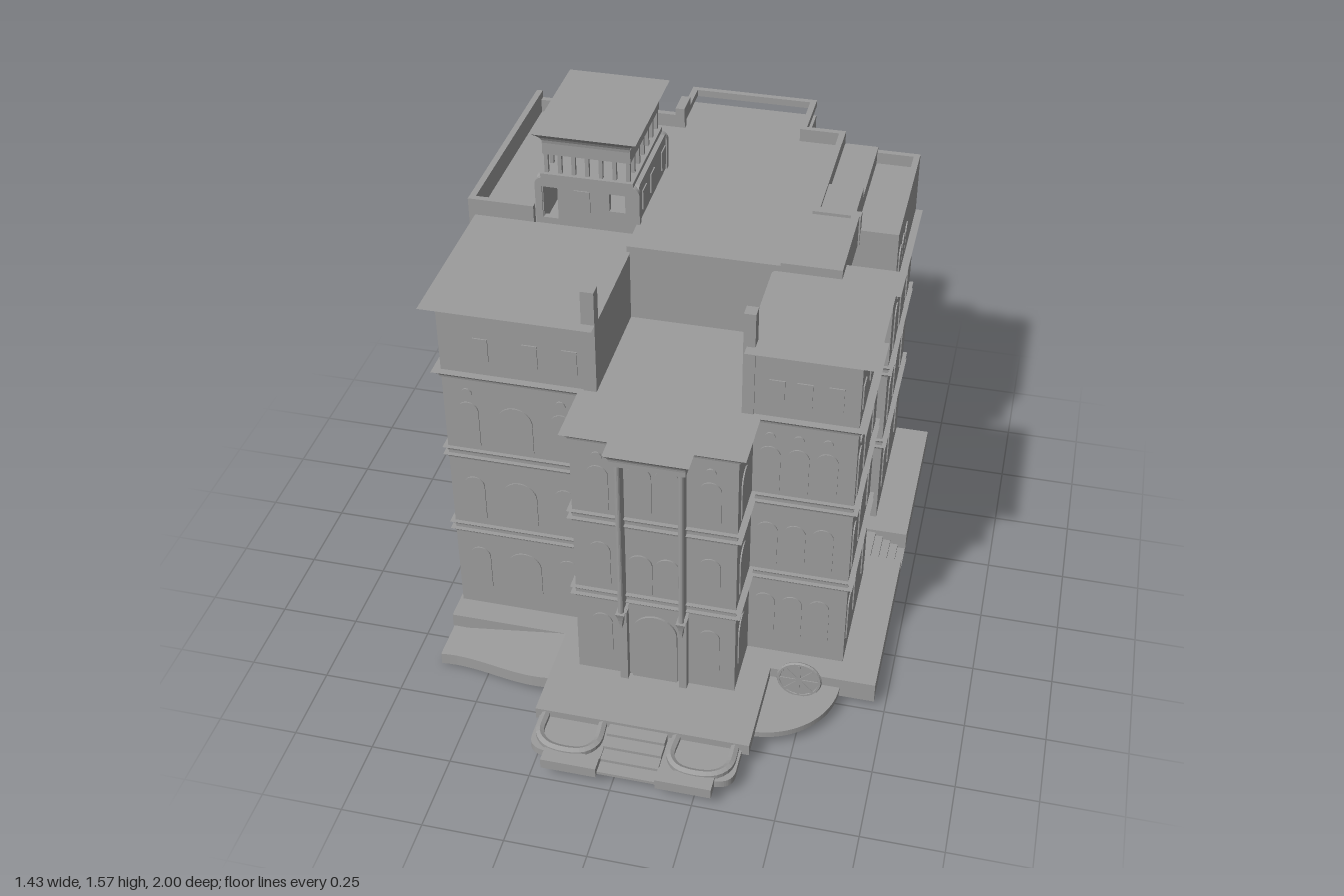
import * as THREE from 'three';

export function createModel() {
  const model = new THREE.Group();
  const mat = new THREE.MeshStandardMaterial({ color: 0x9c9c9c, flatShading: true, side: THREE.DoubleSide });

  const add = (name, geo, x = 0, y = 0, z = 0, ry = 0) => {
    const m = new THREE.Mesh(geo, mat);
    m.name = name;
    m.position.set(x, y, z);
    m.rotation.y = ry;
    model.add(m);
    return m;
  };
  const box = (name, x0, x1, y0, y1, z0, z1) =>
    add(name, new THREE.BoxGeometry(x1 - x0, y1 - y0, z1 - z0), (x0 + x1) / 2, (y0 + y1) / 2, (z0 + z1) / 2);

  // Slab whose sides curve inward by d towards the bottom
  const flare = (name, x0, x1, y0, y1, z0, z1, d) => {
    const w = x1 - x0, h = y1 - y0, l = z1 - z0;
    const g = new THREE.BoxGeometry(w, h, l, 1, 4, 1), p = g.attributes.position;
    for (let i = 0; i < p.count; i++) {
      const t = p.getY(i) / h + 0.5, inset = d * (1 - t * t);
      p.setX(i, p.getX(i) * (1 - 2 * inset / w));
      p.setZ(i, p.getZ(i) * (1 - 2 * inset / l));
    }
    g.computeVertexNormals();
    add(name, g, (x0 + x1) / 2, (y0 + y1) / 2, (z0 + z1) / 2);
  };

  // Shallow window panels; side 0 = front, 1 = +x, 2 = back, 3 = -x
  const panel = (name, side, plane, u, y0, y1, w, arched = true) => {
    const s = new THREE.Shape(), r = w / 2, h = y1 - y0;
    s.moveTo(-r, 0);
    s.lineTo(r, 0);
    if (arched) s.absarc(0, h - r, r, 0, Math.PI);
    else { s.lineTo(r, h); s.lineTo(-r, h); }
    s.closePath();
    const g = new THREE.ExtrudeGeometry(s, { depth: 0.008, bevelEnabled: false, curveSegments: 10 });
    g.translate(0, 0, -0.004);
    const sideways = side % 2 === 1;
    add(name, g, sideways ? plane : u, y0, sideways ? u : plane, side * Math.PI / 2);
  };
  const floors = [[0.18, 0.34], [0.47, 0.63], [0.76, 0.92]];
  const windows = (side, plane, list) => {
    for (const [y0, y1] of floors)
      for (const [u, w] of list) panel('archedWindow', side, plane, u, y0, y1, w);
  };
  const roundel = (side, plane, u) => {
    const g = new THREE.CylinderGeometry(0.016, 0.016, 0.01, 16).rotateX(Math.PI / 2);
    add('roundel', g, side ? plane : u, 0.955, side ? u : plane, side * Math.PI / 2);
  };

  // Block with double string courses at each floor and a cornice
  const block = (name, x0, x1, z0, z1, top, backBand = 0) => {
    box(name, x0, x1, 0.09, top, z0, z1);
    for (const y of [0.397, 0.424, 0.697, 0.724])
      flare('stringCourse', x0 - 0.014, x1 + 0.014, y, y + 0.017, z0 - backBand, z1 + 0.014, 0.013);
    flare('cornice', x0 - 0.024, x1 + 0.024, 1.005, 1.03, z0 - backBand, z1 + 0.024, 0.02);
  };

  // Main volumes
  block('entranceBay', -0.2, 0.295, 0, 0.61, 1.02);
  block('frontRightWing', -0.65, -0.2, -0.08, 0.41, 1.25);
  block('frontLeftWing', 0.295, 0.6, -0.01, 0.41, 1.25, 0.012);
  block('centralBlock', -0.21, 0.46, -0.81, 0.02, 1.25);
  block('rearLeftWing', 0.33, 0.6, -0.81, -0.3, 1.2);
  box('rearRightBlock', -0.71, -0.18, 0.055, 1.25, -0.81, -0.08);
  box('rearTower', -0.21, 0.22, 0.055, 1.237, -1, -0.8);
  box('centralDeck', -0.18, 0.46, 1.24, 1.285, -0.48, 0.02);

  // Overhanging roofs and chimneys
  flare('frontRightRoof', -0.69, -0.17, 1.23, 1.265, -0.08, 0.45, 0.045);
  flare('frontLeftRoof', 0.27, 0.64, 1.23, 1.265, -0.06, 0.45, 0.045);
  box('chimney', -0.21, -0.17, 1.02, 1.375, 0.375, 0.415);
  box('chimney', 0.26, 0.295, 1.02, 1.375, 0.375, 0.415);
  box('terraceWall', -0.2, -0.17, 1.02, 1.26, 0.02, 0.41);
  box('terraceWall', 0.265, 0.295, 1.02, 1.26, 0.02, 0.41);

  // Parapets
  const parapet = (x0, x1, z0, z1, top, base = 1.19) => box('parapet', x0, x1, base, top, z0, z1);
  parapet(-0.71, -0.69, -0.81, -0.08, 1.32);
  parapet(-0.71, -0.5, -0.1, -0.08, 1.32);
  parapet(-0.71, -0.19, -0.81, -0.79, 1.295);
  parapet(-0.21, -0.19, -1, -0.79, 1.295, 1.272);
  parapet(0.2, 0.22, -1, -0.79, 1.295, 1.272);
  parapet(-0.21, 0.22, -1, -0.98, 1.295, 1.272);
  parapet(0.2, 0.35, -0.81, -0.79, 1.295);
  parapet(0.33, 0.35, -0.81, -0.3, 1.295);
  parapet(0.33, 0.48, -0.32, -0.29, 1.295);
  parapet(0.45, 0.475, -0.3, 0.02, 1.295);
  parapet(0.29, 0.475, 0, 0.02, 1.295);
  parapet(0.33, 0.6, -0.32, -0.3, 1.24);
  parapet(0.58, 0.6, -0.81, -0.3, 1.24);
  parapet(0.33, 0.6, -0.81, -0.79, 1.24);
  parapet(-0.6, -0.49, -0.68, -0.66, 1.325);
  parapet(-0.51, -0.37, -0.65, -0.63, 1.325);
  parapet(-0.39, -0.37, -0.65, -0.51, 1.325);
  parapet(-0.22, -0.19, -0.87, -0.78, 1.325, 1.272);

  // Belvedere: lower storey walls with rounded shoulders and openings
  const shoulderWall = (name, w, holes, x, z, ry) => {
    const s = new THREE.Shape(), r = w / 2, c = 0.025;
    s.moveTo(-r, -0.02);
    s.lineTo(r, -0.02);
    s.lineTo(r, 0.15 - c);
    s.absarc(r - c, 0.15 - c, c, 0, Math.PI / 2);
    s.absarc(-r + c, 0.15 - c, c, Math.PI / 2, Math.PI);
    s.closePath();
    for (const [u, hw, y0] of holes)
      s.holes.push(new THREE.Path([[-hw, y0], [-hw, 0.12], [hw, 0.12], [hw, y0]].map(([a, b]) => new THREE.Vector2(u + a, b))));
    const g = new THREE.ExtrudeGeometry(s, { depth: 0.02, bevelEnabled: false, curveSegments: 5 });
    g.translate(0, 0, -0.01);
    add(name, g, x, 1.26, z, ry);
  };
  const bx = -0.335, bz = -0.29;
  for (const s of [-1, 1]) {
    shoulderWall('belvedereLowerWall', 0.33, [[-0.118, 0.025, 0.012], [0.095, 0.025, 0.06]], bx, bz + s * 0.175, 0);
    shoulderWall('belvedereSideWall', 0.36, [], bx + s * 0.15, bz, Math.PI / 2);
    for (const z of [-0.18, -0.28, -0.42])
      panel('belvedereWindow', s > 0 ? 1 : 3, bx + s * 0.16, z, 1.31, 1.375, 0.05, false);
  }
  panel('belvedereWindow', 0, bz + 0.185, -0.35, 1.3, 1.38, 0.05, false);
  box('belvedereFloor', -0.48, -0.19, 1.395, 1.425, -0.475, -0.105);

  // Belvedere: open gallery with posts and a flared roof
  for (let i = 0; i <= 6; i++) {
    const x = -0.463 + i * 0.256 / 6, z = -0.458 + i * 0.336 / 6;
    for (const s of [-1, 1]) {
      const pz = bz + s * 0.168, px = bx + s * 0.128;
      box('galleryPost', x - 0.006, x + 0.006, 1.42, 1.5, pz - 0.006, pz + 0.006);
      if (i % 6) box('galleryPost', px - 0.006, px + 0.006, 1.42, 1.5, z - 0.006, z + 0.006);
    }
  }
  box('galleryLintel', -0.472, -0.198, 1.49, 1.535, -0.468, -0.112);
  flare('belvedereRoof', -0.497, -0.173, 1.53, 1.57, -0.51, -0.08, 0.028);

  // Front windows
  windows(0, 0.41, [[-0.575, 0.065], [-0.43, 0.11], [-0.285, 0.065], [0.345, 0.065], [0.43, 0.065], [0.515, 0.065]]);
  windows(0, 0.61, [[-0.12, 0.065], [0.215, 0.065]]);
  for (const x of [-0.575, -0.285, 0.345, 0.43, 0.515]) roundel(0, 0.41, x);
  for (const x of [-0.12, 0.215]) roundel(0, 0.61, x);
  for (const x of [-0.52, -0.37, -0.25, 0.36, 0.44, 0.53]) panel('atticWindow', 0, 0.41, x, 1.08, 1.16, 0.045, false);

  // Side windows
  windows(1, 0.295, [[0.525, 0.09]]);
  windows(3, -0.2, [[0.525, 0.09]]);
  windows(1, 0.6, [[0.355, 0.06], [0.2, 0.11], [0.05, 0.065], [-0.4, 0.065], [-0.56, 0.11], [-0.71, 0.065]]);
  windows(1, 0.46, [[-0.06, 0.06], [-0.26, 0.06]]);
  windows(3, -0.65, [[0.34, 0.065], [0.19, 0.11], [0.04, 0.065]]);
  for (const z of [0.355, 0.05, -0.4, -0.71]) roundel(1, 0.6, z);
  for (const z of [0.36, 0.22]) panel('atticWindow', 1, 0.6, z, 1.08, 1.16, 0.05, false);
  for (const z of [-0.37, -0.44, -0.51]) panel('atticWindow', 1, 0.6, z, 1.07, 1.16, 0.06);
  for (const z of [0.34, 0.19, 0.04]) panel('atticWindow', 3, -0.65, z, 1.08, 1.16, 0.05, false);
  panel('sideDoor', 1, 0.46, -0.16, 0.1, 0.37, 0.08);

  // Rear windows
  for (const y of [0.32, 0.57, 0.86]) {
    panel('towerWindow', 1, 0.22, -0.91, y, y + 0.18, 0.07);
    for (const x of [-0.08, 0.1]) panel('towerWindow', 2, -1, x, y, y + 0.18, 0.09);
  }
  for (const y of [0.22, 0.42, 0.64, 0.85, 1.06]) {
    for (const x of [-0.55, -0.36]) panel('rearWindow', 2, -0.81, x, y, y + 0.1, 0.06, false);
    for (const z of [-0.66, -0.5, -0.36, -0.2]) panel('sideWindow', 3, -0.71, z, y, y + 0.1, 0.05, false);
  }

  // Entrance: door, tall windows, slender columns on bracketed fins
  panel('entranceDoor', 0, 0.613, 0.045, 0.1, 0.36, 0.14);
  for (const x of [0.003, 0.087]) {
    panel('tallWindow', 0, 0.611, x, 0.45, 0.6, 0.075);
    panel('tallWindow', 0, 0.611, x, 0.76, 0.94, 0.075);
  }
  for (const x of [-0.048, 0.138]) {
    box('entrancePilaster', x - 0.012, x + 0.012, 0.1, 0.38, 0.6, 0.635);
    flare('columnBracket', x - 0.014, x + 0.014, 0.34, 0.4, 0.6, 0.67, 0.01);
    box('columnFin', x - 0.006, x + 0.006, 0.39, 0.99, 0.6, 0.65);
    add('column', new THREE.CylinderGeometry(0.009, 0.009, 0.6, 12), x, 0.69, 0.653);
  }
  box('balconyLintel', -0.065, 0.155, 0.975, 1.005, 0.6, 0.67);
  flare('balconyCornice', -0.08, 0.17, 1, 1.027, 0.59, 0.695, 0.015);

  // Podium, its underside falling gently towards +x, and side stairs
  const base = box('podium', -0.66, 0.58, 0.04, 0.1, -0.81, 0.49).geometry.attributes.position;
  for (let i = 0; i < base.count; i++) if (base.getY(i) < 0) base.setY(i, base.getY(i) - 0.021 * base.getX(i));
  box('podiumEdge', -0.72, -0.6, 0.055, 0.1, -0.81, -0.08);
  box('podiumEdge', 0.58, 0.715, 0.03, 0.1, -0.81, -0.23);
  box('podiumEdge', 0.58, 0.715, 0.03, 0.1, -0.1, 0.49);
  for (let i = 0; i < 5; i++) box('sideStep', 0.58, 0.61 + i * 0.026, 0.03, 0.09 - i * 0.013, -0.23, -0.1);
  box('frontTerrace', -0.28, 0.385, 0.06, 0.1, 0.4, 0.82);

  // Curved sloping ramp: a top strip and its front wall
  const rampGeo = new THREE.PlaneGeometry(1, 1, 14, 2), rp = rampGeo.attributes.position;
  for (let i = 0; i < rp.count; i++) {
    const t = i % 15 / 14, row = Math.floor(i / 15);
    const edge = 0.615 + 0.075 * THREE.MathUtils.smoothstep(t, 0, 1);
    rp.setXYZ(i, -0.66 + 0.38 * t, 0.045 + 0.055 * t - (row === 2 ? 0.042 : 0), row ? edge : 0.45);
  }
  rampGeo.computeVertexNormals();
  const rampMat = mat.clone();
  rampMat.side = THREE.FrontSide;
  add('curvedRamp', rampGeo).material = rampMat;

  // Flat curved pieces: shapes drawn in x and z
  const slab = (name, shape, y, h) => {
    const g = new THREE.ExtrudeGeometry(shape, { depth: h, bevelEnabled: false, curveSegments: 14 });
    g.rotateX(Math.PI / 2).translate(0, y + h, 0);
    add(name, g);
  };
  const lawn = new THREE.Shape();
  lawn.moveTo(0.36, 0.48);
  lawn.lineTo(0.605, 0.48);
  lawn.absarc(0.365, 0.49, 0.24, 0, Math.PI / 2);
  slab('roundedLawn', lawn, 0.045, 0.02);

  // Upright wheel ornament
  const disc = new THREE.CylinderGeometry(0.066, 0.066, 0.008, 28).rotateX(Math.PI / 2);
  add('wheelDisc', disc, 0.485, 0.13, 0.545);
  add('wheelRim', new THREE.TorusGeometry(0.064, 0.007, 6, 28), 0.485, 0.13, 0.545);
  for (let i = 0; i < 4; i++)
    add('wheelSpoke', new THREE.BoxGeometry(0.12, 0.008, 0.014), 0.485, 0.13, 0.545).rotation.z = i * Math.PI / 4;

  // Front steps with mirrored curved planters
  for (let i = 0; i < 4; i++) box('frontStep', -0.045, 0.135, 0.05, 0.09 - i * 0.01, 0.81, 0.86 + i * 0.042);
  for (const s of [-1, 1]) {
    const X = (d) => 0.048 + s * d;
    const planter = new THREE.Shape();
    planter.moveTo(X(0.09), 0.81);
    planter.lineTo(X(0.315), 0.81);
    planter.lineTo(X(0.315), 0.9);
    planter.quadraticCurveTo(X(0.315), 0.955, X(0.25), 0.955);
    planter.lineTo(X(0.09), 0.955);
    slab('planterBase', planter, 0.05, 0.025);
    const rim = new THREE.CatmullRomCurve3([[0.295, 0.82], [0.29, 0.9], [0.25, 0.938], [0.15, 0.938], [0.115, 0.9], [0.115, 0.82]]
      .map(([d, z]) => new THREE.Vector3(X(d), 0.083, z)));
    add('planterRim', new THREE.TubeGeometry(rim, 24, 0.014, 6));
    const a = X(0.09), b = X(0.26);
    box('frontPlinth', Math.min(a, b), Math.max(a, b), 0.05, 0.085, 0.95, 1);
  }
  return model;
}
